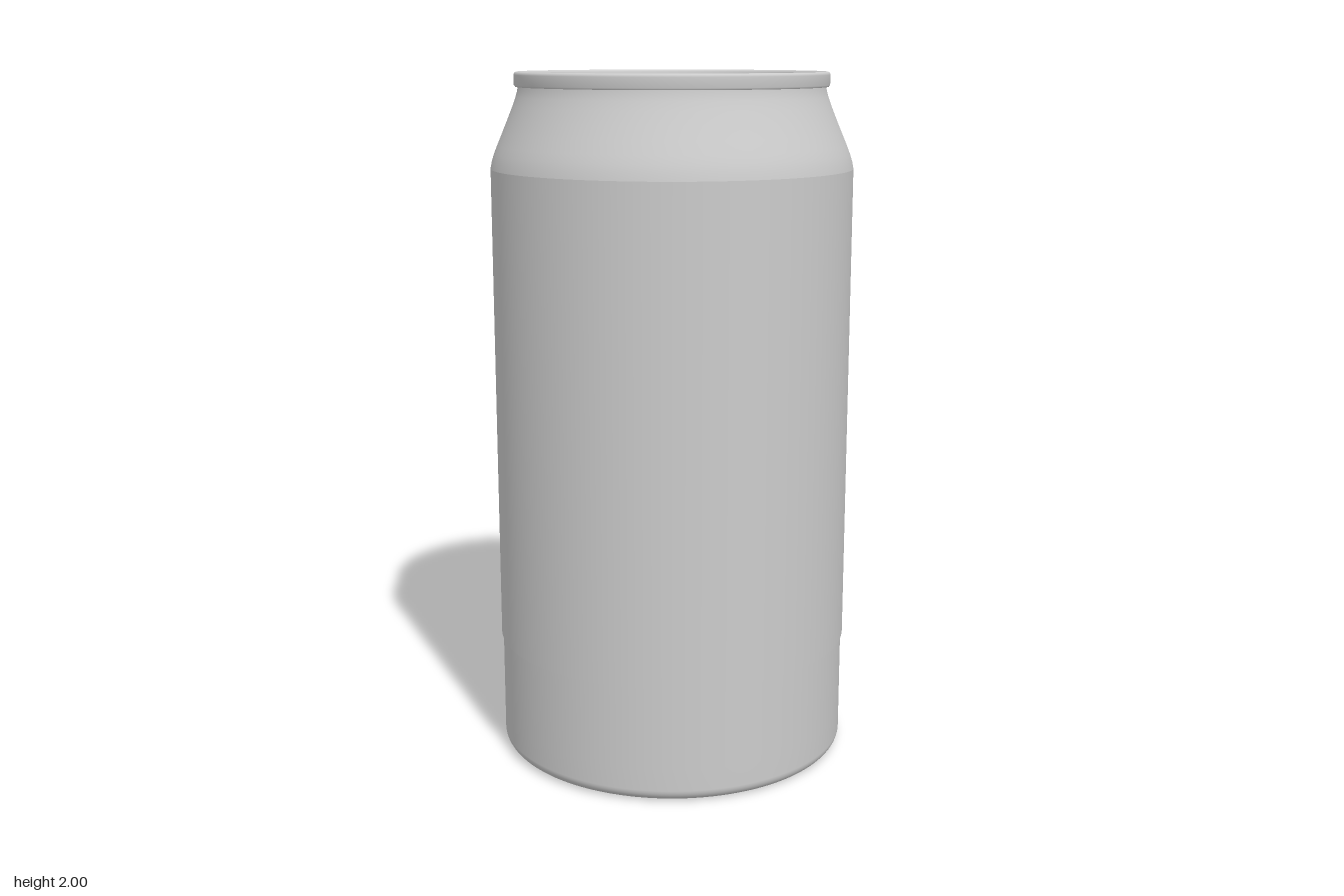
import * as THREE from 'three';

const metal = new THREE.MeshStandardMaterial({ color: 0xcccccc });
const SEG = 128;
const FLOOR = 1.942;   // height of the lid panel
const DENT = 0.012;    // depth of the pressed area

const v2 = ([x, y]) => new THREE.Vector2(x, y);

function mesh(name, geometry) {
  const m = new THREE.Mesh(geometry, metal);
  m.name = name;
  return m;
}

const lathe = (name, pts) => mesh(name, new THREE.LatheGeometry(pts.map(v2), SEG));

// Points of a circular arc, angles in degrees
function arc(cx, cy, r, from, to, n = 8) {
  return Array.from({ length: n + 1 }, (_, i) => {
    const a = THREE.MathUtils.degToRad(from + (to - from) * i / n);
    return [cx + r * Math.cos(a), cy + r * Math.sin(a)];
  });
}

// Closed outline with rounded corners
function rounded(path, pts, r) {
  const p = pts.map(v2), n = p.length;
  p.forEach((c, i) => {
    const a = p[(i + n - 1) % n], b = p[(i + 1) % n];
    const ra = Math.min(r, c.distanceTo(a) * 0.45), rb = Math.min(r, c.distanceTo(b) * 0.45);
    const s = c.clone().lerp(a, ra / c.distanceTo(a)), e = c.clone().lerp(b, rb / c.distanceTo(b));
    if (i) path.lineTo(s.x, s.y); else path.moveTo(s.x, s.y);
    path.quadraticCurveTo(c.x, c.y, e.x, e.y);
  });
  path.closePath();
  return path;
}

// Lid panel with the bow-tie shaped area pressed into it
function lidPanel() {
  const half = [[-0.262, 0.07], [-0.24, 0.145], [-0.19, 0.175], [-0.13, 0.15], [-0.06, 0.112],
    [0.01, 0.108], [0.1, 0.125], [0.23, 0.146], [0.285, 0.11], [0.306, 0.05]];
  const outline = [...half, ...half.map(([x, y]) => [x, -y]).reverse()];
  const poly = new THREE.CatmullRomCurve3(outline.map(([x, y]) => new THREE.Vector3(x, y, 0)), true).getPoints(90);
  const g = new THREE.RingGeometry(0, 0.402, 180, 56);
  const pos = g.attributes.position;
  for (let k = 0; k < pos.count; k++) {
    const x = pos.getX(k), y = pos.getY(k);
    let inside = false, dist = Infinity;
    for (let i = 0; i < poly.length - 1; i++) {
      const a = poly[i], b = poly[i + 1], dx = b.x - a.x, dy = b.y - a.y;
      if ((a.y > y) !== (b.y > y) && x < a.x + (y - a.y) / dy * dx) inside = !inside;
      const t = THREE.MathUtils.clamp(((x - a.x) * dx + (y - a.y) * dy) / (dx * dx + dy * dy || 1), 0, 1);
      dist = Math.min(dist, Math.hypot(x - a.x - t * dx, y - a.y - t * dy));
    }
    pos.setZ(k, -DENT * THREE.MathUtils.smoothstep(inside ? dist : -dist, -0.018, 0.018));
  }
  g.computeVertexNormals();
  g.rotateX(-Math.PI / 2).translate(0, FLOOR, 0);
  return mesh('lidPanel', g);
}

// Pull tab with a finger hole and a C-shaped slot around the rivet tongue
function pullTab() {
  const group = new THREE.Group();
  group.name = 'pullTab';
  const half = [[-0.09, 0.1], [0.05, 0.1], [0.08, 0.097], [0.265, 0.126], [0.298, 0.035]];
  const mirror = (pts) => [...pts, ...pts.map(([x, y]) => [x, -y]).reverse()];
  const shape = rounded(new THREE.Shape(), mirror(half), 0.045);
  shape.holes.push(
    rounded(new THREE.Path(), mirror([[0.097, 0.08], [0.25, 0.1], [0.274, 0.03]]), 0.03),
    rounded(new THREE.Path(), mirror([[0.012, 0.035], [-0.053, 0.035], [-0.053, 0.076], [0.053, 0.076]]), 0.018));
  const g = new THREE.ExtrudeGeometry(shape, {
    depth: 0.01, curveSegments: 8, bevelThickness: 0.005, bevelSize: 0.005, bevelSegments: 3,
  });
  g.rotateX(-Math.PI / 2).translate(0, FLOOR + 0.002, 0);
  group.add(mesh('tabPlate', g));
  const stem = new THREE.CylinderGeometry(0.022, 0.022, 0.03, 24);
  stem.translate(-0.034, FLOOR, 0);
  const head = new THREE.SphereGeometry(0.028, 32, 12, 0, Math.PI * 2, 0, Math.PI / 2);
  head.scale(1, 0.6, 1).translate(-0.034, FLOOR + 0.016, 0);
  group.add(mesh('rivetStem', stem), mesh('rivetHead', head));
  return group;
}

export function createModel() {
  const can = new THREE.Group();
  can.name = 'drinkCan';

  // Hollow dome underneath
  const dome = Array.from({ length: 17 }, (_, i) => [0.472 * i / 16, 0.11 * (1 - (i / 16) ** 2) + 0.003]);
  can.add(lathe('baseDome', dome));

  // Lower body with rounded foot, and the slightly wider sleeve above it
  can.add(lathe('foot', [[0.472, 0.003], [0.476, 0], ...arc(0.479, 0.035, 0.035, -90, 0), [0.514, 0.1], [0.514, 0.342]]));
  can.add(lathe('sleeveEdge', [[0.514, 0.34], [0.519, 0.342]]));
  can.add(lathe('sleeve', [[0.519, 0.342], [0.519, 1.73]]));

  // Shoulder tapering to the neck
  can.add(lathe('shoulder', [[0.519, 1.73], [0.515, 1.75], [0.508, 1.772], [0.499, 1.795], [0.484, 1.83],
    [0.468, 1.868], [0.453, 1.905], [0.444, 1.93], [0.439, 1.947], [0.437, 1.962]]));

  // Rolled seam at the top, then the inner wall and the groove round the panel
  can.add(lathe('seamUnderside', [[0.435, 1.96], [0.444, 1.958]]));
  can.add(lathe('seam', [[0.444, 1.958], [0.448, 1.963], [0.448, 1.985],
    ...arc(0.439, 1.991, 0.009, 0, 180, 10), [0.428, 1.985]]));
  can.add(lathe('lidWall', [[0.428, 1.985], [0.425, 1.965], [0.422, 1.938]]));
  can.add(lathe('lidGroove', [[0.422, 1.938], [0.42, 1.931], [0.416, 1.928], [0.412, 1.931],
    [0.409, 1.938], [0.406, 1.941], [0.4, FLOOR]]));

  can.add(lidPanel(), pullTab());
  return can;
}
